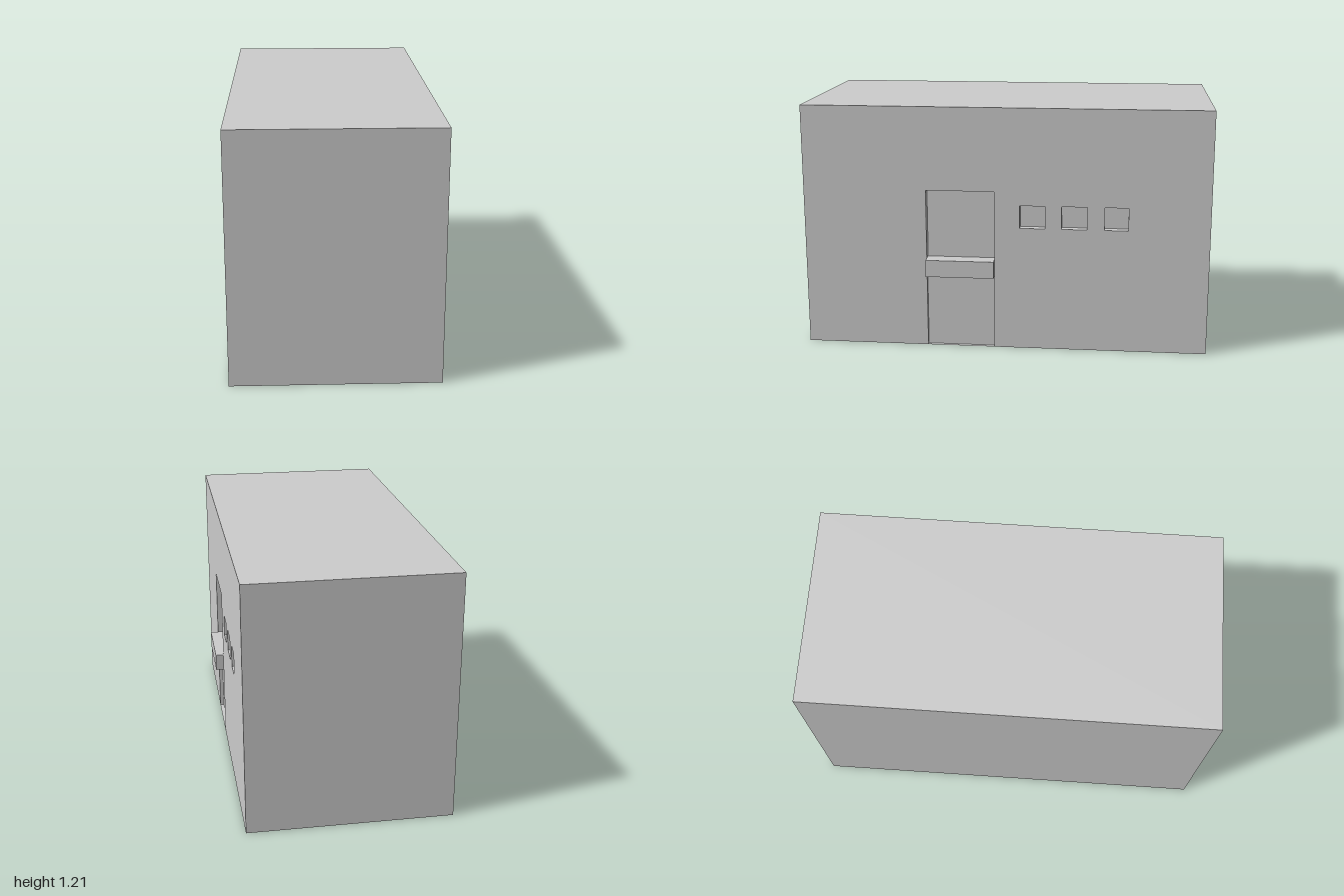
import * as THREE from 'three';

const material = new THREE.MeshStandardMaterial({ color: 0xcccccc, flatShading: true, side: THREE.DoubleSide });

const X0 = -0.515, X1 = 0.473, HEIGHT = 1.213;
const DOOR = { z0: 0.05, z1: 0.388, top: 0.8 };
const BAR = { y0: 0.37, y1: 0.455 };
const WINDOWS = [[-0.2, -0.075], [-0.405, -0.28], [-0.605, -0.49]];
const SILL = 0.62, LINTEL = 0.733;

// Box side numbers: 0 +x, 1 -x, 2 +y, 3 -y, 4 +z, 5 -z
function openBox(name, [x0, x1], [y0, y1], [z0, z1], omit, inward = false) {
  const geo = new THREE.BoxGeometry(x1 - x0, y1 - y0, z1 - z0);
  geo.translate((x0 + x1) / 2, (y0 + y1) / 2, (z0 + z1) / 2);
  let index = Array.from(geo.index.array).filter((_, i) => !omit.includes(Math.floor(i / 6)));
  if (inward) {
    index.reverse();
    geo.attributes.normal.array.forEach((n, i, a) => { a[i] = -n; });
  }
  geo.setIndex(index);
  geo.clearGroups();
  const mesh = new THREE.Mesh(geo, material);
  mesh.name = name;
  return mesh;
}

export function createModel() {
  const model = new THREE.Group();
  model.name = 'building';

  // Hollow shell, open underneath and on the door side
  model.add(openBox('shell', [X0, X1], [0, HEIGHT], [-1, 1], [0, 3]));

  // Door-side wall, drawn with -z to the right, notched for the door and pierced for windows
  const wall = new THREE.Shape([
    [-1, 0], [-DOOR.z1, 0], [-DOOR.z1, DOOR.top], [-DOOR.z0, DOOR.top],
    [-DOOR.z0, 0], [1, 0], [1, HEIGHT], [-1, HEIGHT],
  ].map(([u, v]) => new THREE.Vector2(u, v)));
  for (const [z0, z1] of WINDOWS) {
    wall.holes.push(new THREE.Path([
      [-z1, SILL], [-z1, LINTEL], [-z0, LINTEL], [-z0, SILL],
    ].map(([u, v]) => new THREE.Vector2(u, v))));
  }
  const wallMesh = new THREE.Mesh(new THREE.ShapeGeometry(wall), material);
  wallMesh.name = 'doorWall';
  wallMesh.rotation.y = Math.PI / 2;
  wallMesh.position.x = X1;
  model.add(wallMesh);

  // Window recesses
  WINDOWS.forEach((z, i) =>
    model.add(openBox(`window${i + 1}`, [X1 - 0.04, X1], [SILL, LINTEL], z, [0], true)));

  // Serving door: deep upper recess, shallow lower panel, counter ledge between
  const doorZ = [DOOR.z0, DOOR.z1];
  model.add(
    openBox('upperDoor', [X1 - 0.04, X1], [BAR.y1, DOOR.top], doorZ, [0], true),
    openBox('lowerDoor', [X1 - 0.02, X1], [0, BAR.y0], doorZ, [0], true),
    openBox('ledge', [X1, 0.513], [BAR.y0, BAR.y1], doorZ, [1]),
  );
  return model;
}
